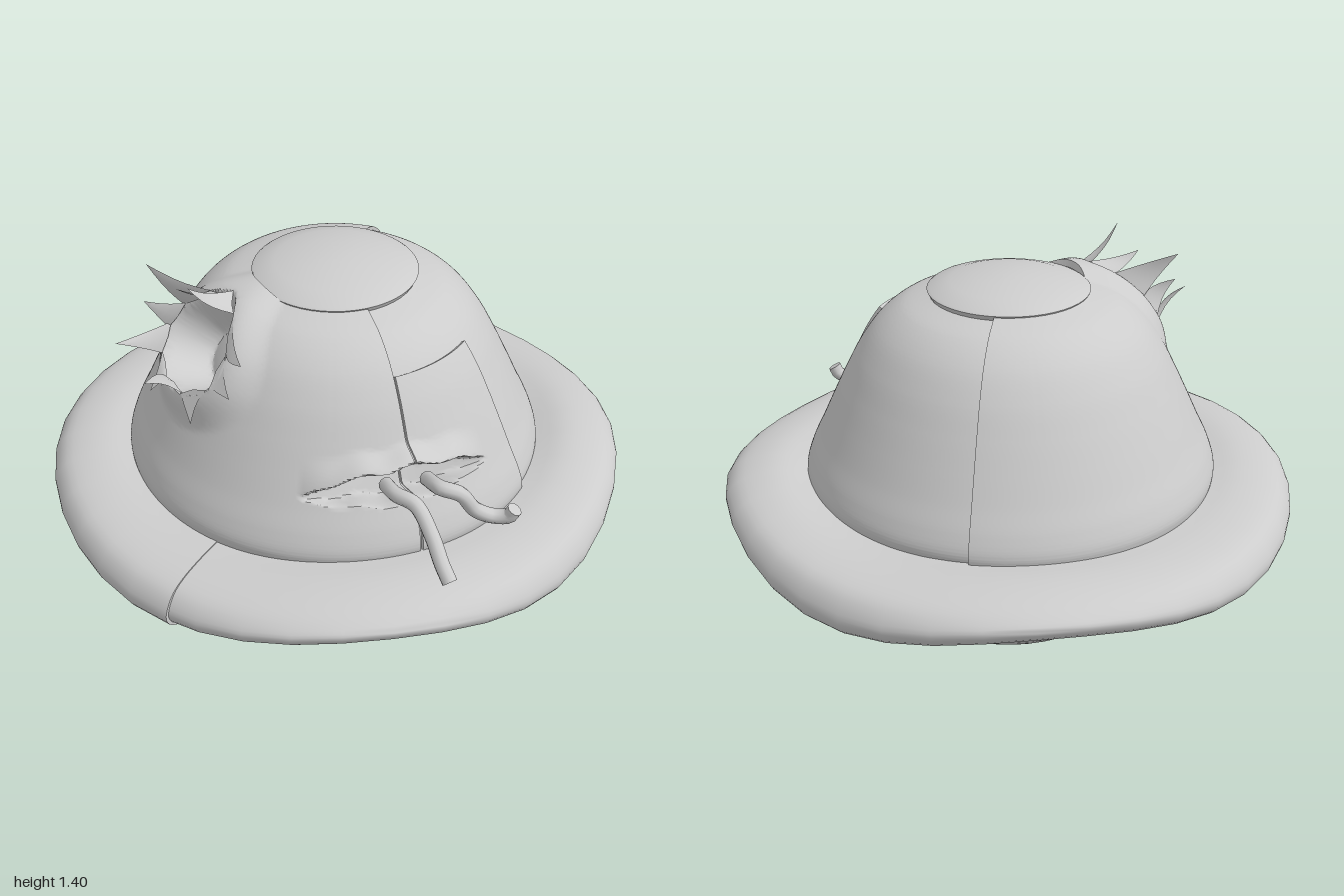
import * as THREE from 'three';
import { toCreasedNormals, mergeVertices } from 'three/addons/utils/BufferGeometryUtils.js';

const DEG = Math.PI / 180;
const smooth = THREE.MathUtils.smoothstep;
const V = (x, y, z) => new THREE.Vector3(x, y, z);
const spline2 = pts => new THREE.SplineCurve(pts.map(p => new THREE.Vector2(...p)));

// dome profile, radius and height, from the cap down to the brim
const profile = spline2([[0.27, 1.305], [0.37, 1.27], [0.455, 1.205], [0.522, 1.115], [0.576, 1.015],
  [0.623, 0.918], [0.665, 0.828], [0.704, 0.747], [0.724, 0.68], [0.712, 0.62]]);

const HOLE = { phi: 151, y: 1.15, w: 20, h: 0.13 };
const GASH = { phi: 70, y: 0.88, w: 29, h: 0.052 };

// outward (+) or inward (-) displacement of the torn areas, angle in degrees
function damage(phi, y) {
  const a = (phi - HOLE.phi) / HOLE.w, b = (y - HOLE.y) / HOLE.h;
  const d = Math.hypot(a, b);
  let out = -0.13 * (1 - smooth(d, 0.75, 1));
  out += 0.04 * smooth(d, 0.9, 1) * (1 - smooth(d, 1, 1.8));
  const u = (phi - GASH.phi) / GASH.w;
  if (Math.abs(u) < 1) {
    const k = 1 - u * u;
    const mid = GASH.y - 0.025 + 0.025 * k + 0.007 * k * Math.sin(phi * 0.4);
    const v = (y - mid) / (GASH.h * k + 0.004);
    out -= 0.11 * k * (1 - smooth(Math.abs(v), 0.55, 1));
    // the upper lip is bent outward
    if (v > 0.8) out += 0.05 * k * smooth(v, 0.8, 1.05) * (1 - smooth(y, mid + GASH.h * k, mid + 0.12));
  }
  return out;
}

function domePoint(phi, t, off) {
  const p = profile.getPoint(t), n = profile.getTangent(t);
  const d = off + damage(phi, p.y);
  const r = p.x - n.y * d, y = p.y + n.x * d;
  return V(r * Math.cos(phi * DEG), y, r * Math.sin(phi * DEG));
}

// surface grid over columns i and rows j
function gridGeometry(cols, rows, point, crease) {
  const pos = [], index = [];
  for (let j = 0; j < rows; j++) {
    for (let i = 0; i < cols; i++) {
      pos.push(...point(i, j).toArray());
      if (i < cols - 1 && j < rows - 1) {
        const a = j * cols + i, b = a + cols;
        index.push(a, a + 1, b, a + 1, b + 1, b);
      }
    }
  }
  const g = new THREE.BufferGeometry();
  g.setAttribute('position', new THREE.Float32BufferAttribute(pos, 3));
  g.setIndex(index);
  return toCreasedNormals(mergeVertices(g, 1e-5), crease);
}

// dome panel whose border is folded down to form a plate edge
function panelGeometry(phi0, phi1, t0, t1, off) {
  const nc = Math.ceil(phi1 - phi0), nr = Math.ceil((t1 - t0) * 140);
  return gridGeometry(nc + 3, nr + 3, (i, j) => {
    const ci = THREE.MathUtils.clamp(i - 1, 0, nc), cj = THREE.MathUtils.clamp(j - 1, 0, nr);
    const edge = ci !== i - 1 || cj !== j - 1;
    return domePoint(phi0 + (phi1 - phi0) * ci / nc, t0 + (t1 - t0) * cj / nr, off - (edge ? 0.025 : 0));
  }, 55 * DEG);
}

// brim cross-section: radius, height; the outer part follows a wave
const brimSection = spline2([[0.6, 0.65], [0.72, 0.66], [0.8, 0.667], [0.88, 0.66], [0.95, 0.638],
  [0.99, 0.597], [0.998, 0.56], [0.97, 0.518], [0.9, 0.485], [0.8, 0.475], [0.7, 0.475], [0.6, 0.5]]);

function brimGeometry() {
  const start = 121, cols = 42, rows = 31;
  return gridGeometry(cols, rows, (i, j) => {
    const u = Math.max(i - 1, 0) / (cols - 2);
    const phi = (start + u * 363) * DEG;
    const p = brimSection.getPoint(j / (rows - 1));
    // the tail of the strip slides under its start
    const shrink = i === 0 ? 0.9 : 1 - 0.05 * smooth(u, 0.9, 1);
    // the underside waves more strongly than the top
    const top = smooth(p.y, 0.55, 0.65);
    const amp = (0.038 + 0.008 * Math.cos(phi)) * (1 - 0.6 * top);
    const lobes = Math.cos(4 * phi + 0.5 * Math.max(0, Math.sin(phi)));
    const wave = (amp * lobes + 0.01 * Math.cos(phi) + 0.014 * top * Math.cos(2 * phi)) * smooth(p.x, 0.58, 0.85);
    const r = 0.8 + (p.x - 0.8) * shrink;
    const y = 0.575 + (p.y - 0.575) * shrink + wave;
    return V(r * Math.cos(phi), y, r * Math.sin(phi));
  }, 60 * DEG);
}

// bent torn blade tapering from a rim segment to a tip
function shardGeometry(a, b, tip, lift) {
  const mid = a.clone().add(b).multiplyScalar(0.5);
  const n = 6;
  return gridGeometry(3, n, (i, j) => {
    const s = j / (n - 1);
    const base = i === 0 ? a : i === 2 ? b : mid.clone().addScaledVector(lift, 0.3);
    return base.clone().lerp(tip, s).addScaledVector(lift, 0.5 * Math.sin(Math.PI * s));
  }, 30 * DEG);
}

// point on the rim of the breach
function rimPoint(ang) {
  const y = HOLE.y + HOLE.h * Math.sin(ang), phi = HOLE.phi + HOLE.w * Math.cos(ang);
  let lo = 0, hi = 1;
  for (let k = 0; k < 20; k++) {
    const m = (lo + hi) / 2;
    if (profile.getPoint(m).y > y) lo = m; else hi = m;
  }
  return domePoint(phi, lo, 0);
}

export function createModel() {
  const model = new THREE.Group();
  const metal = new THREE.MeshStandardMaterial({ color: 0xcccccc, side: THREE.DoubleSide });
  metal.name = 'plain grey';
  const add = (name, geometry, parent = model) => {
    const m = new THREE.Mesh(geometry, metal);
    m.name = name;
    parent.add(m);
    return m;
  };

  // round lower hull
  const hull = add('lowerHull', new THREE.SphereGeometry(0.69, 48, 24, 0, Math.PI * 2, Math.PI * 0.48, Math.PI * 0.52));
  hull.position.y = 0.695;

  add('wavyBrim', brimGeometry());

  // dome plating: large shell, recessed side panel and raised patch
  add('domeShell', panelGeometry(67, 290, 0, 1, 0));
  add('sidePanel', panelGeometry(-72, 69, 0, 1, -0.013));
  add('accessPatch', panelGeometry(29, 66.3, 0.26, 1, 0));

  // shallow cap on top
  const capCurve = [[0.262, 1.28], [0.276, 1.309], [0.268, 1.315], [0.2, 1.337], [0.12, 1.352], [0.05, 1.359], [0, 1.36]];
  add('topCap', toCreasedNormals(new THREE.LatheGeometry(capCurve.map(p => new THREE.Vector2(...p)), 48), 40 * DEG));

  // torn blades around the breach: rim angle and tip
  const breach = new THREE.Group();
  breach.name = 'breachShards';
  model.add(breach);
  const shards = [
    [0, -0.62, 1.25, 0.13], [35, -0.61, 1.36, 0.08], [72, -0.5, 1.34, 0.2], [105, -0.45, 1.41, 0.31],
    [145, -0.28, 1.23, 0.47], [185, -0.32, 1.12, 0.49], [230, -0.45, 1.0, 0.46],
    [265, -0.6, 1.09, 0.37], [295, -0.6, 1.0, 0.28], [330, -0.7, 1.17, 0.26],
  ];
  const centre = V(-0.47, 1.15, 0.26);
  shards.forEach(([deg, x, y, z]) => {
    const a = rimPoint((deg - 19) * DEG), b = rimPoint((deg + 19) * DEG);
    const lift = centre.clone().sub(a).normalize().multiplyScalar(0.03);
    add('shard', shardGeometry(a, b, V(x, y, z), lift), breach);
  });

  // loose cables hanging out of the gash
  const cables = [
    [[0.17, 0.83, 0.54], [0.2, 0.855, 0.62], [0.26, 0.855, 0.67], [0.31, 0.79, 0.74], [0.34, 0.73, 0.8], [0.365, 0.69, 0.84]],
    [[0.3, 0.84, 0.52], [0.34, 0.875, 0.61], [0.4, 0.86, 0.62], [0.45, 0.79, 0.61], [0.51, 0.755, 0.6], [0.56, 0.765, 0.61], [0.575, 0.795, 0.615]],
  ];
  cables.forEach(pts => {
    const path = new THREE.CatmullRomCurve3(pts.map(p => V(...p)));
    add('looseCable', new THREE.TubeGeometry(path, 30, 0.025, 10));
    const end = add('cableEnd', new THREE.CircleGeometry(0.025, 10));
    end.position.copy(path.getPoint(1));
    end.quaternion.setFromUnitVectors(V(0, 0, 1), path.getTangent(1));
  });

  return model;
}
